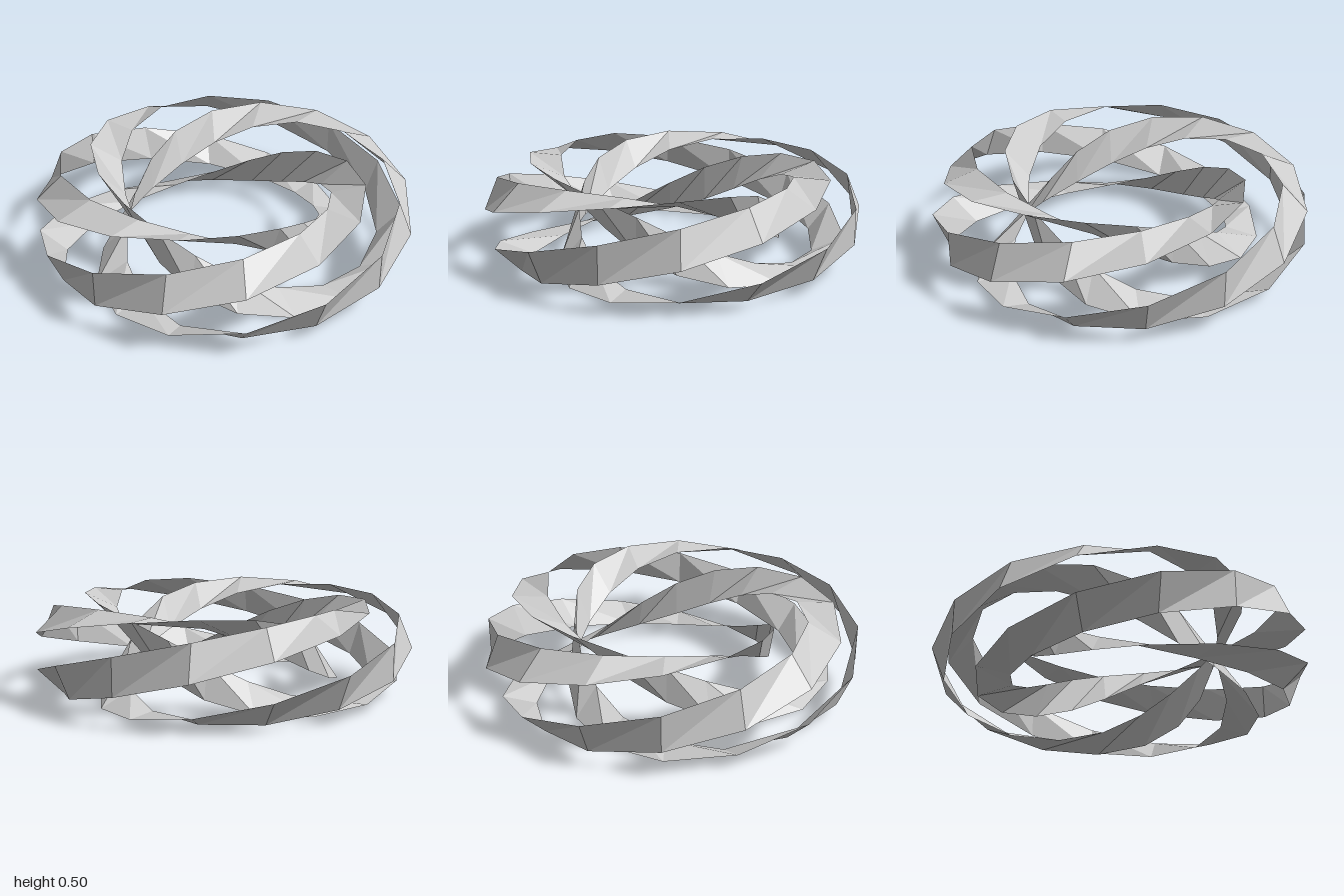
import * as THREE from 'three';

const R = 0.75, r = 0.25;      // ring and tube radii
const STEPS = 16;              // segments around the ring
const STRIPS = 4;              // interlaced ribbons
const WIDTH = Math.PI / 4;     // ribbon width around the tube

// Point on the ring surface: t runs from the front (+z) towards +x, p goes around the tube
function ringPoint(t, p) {
  const d = R + r * Math.cos(p);
  return [d * Math.sin(t), r + r * Math.sin(p), d * Math.cos(t)];
}

// Ribbon that winds once around the tube while going once around the ring
function ribbonGeometry() {
  const positions = [], index = [];
  for (let i = 0; i <= STEPS; i++) {
    const t = (i / STEPS) * Math.PI * 2;
    positions.push(...ringPoint(t, t), ...ringPoint(t, t + WIDTH));
    if (i < STEPS) {
      const a = i * 2;
      index.push(a, a + 2, a + 3, a, a + 3, a + 1);
    }
  }
  const g = new THREE.BufferGeometry();
  g.setAttribute('position', new THREE.Float32BufferAttribute(positions, 3));
  g.setIndex(index);
  const flat = g.toNonIndexed();
  flat.computeVertexNormals();
  return flat;
}

export function createModel() {
  const group = new THREE.Group();
  group.name = 'twistedRibbonRing';
  const material = new THREE.MeshStandardMaterial({
    color: 0xcccccc, flatShading: true, side: THREE.DoubleSide,
  });
  const geometry = ribbonGeometry();

  // Same ribbon turned by quarter turns
  for (let k = 0; k < STRIPS; k++) {
    const ribbon = new THREE.Mesh(geometry, material);
    ribbon.name = `ribbon${k + 1}`;
    ribbon.rotation.y = (k / STRIPS) * Math.PI * 2;
    group.add(ribbon);
  }
  return group;
}
